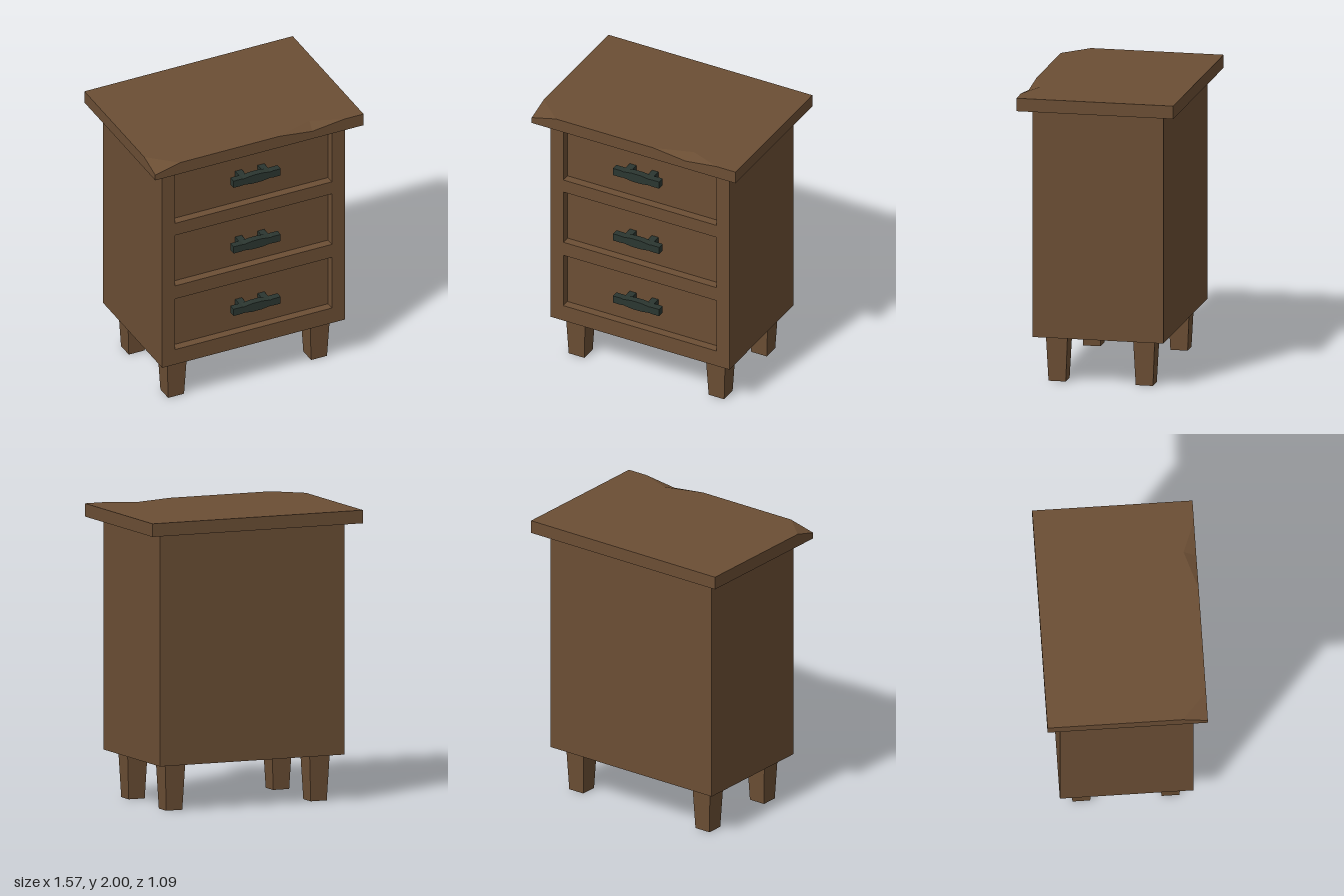
import * as THREE from 'three';

const wood = new THREE.MeshStandardMaterial({ color: 0x6b4e34 });
wood.name = 'brown wood';
const iron = new THREE.MeshStandardMaterial({ color: 0x2b3630 });
iron.name = 'dark iron';

const W = 0.69, D = 0.455, BOTTOM = 0.32, SHELF = 1.91; // cabinet
const TW = 0.787, TD = 0.545, TOP = 2; // table top
const RECESS = 0.06;

function add(parent, name, geometry, material, x = 0, y = 0, z = 0) {
  const mesh = new THREE.Mesh(geometry, material);
  mesh.name = name;
  mesh.position.set(x, y, z);
  parent.add(mesh);
  return mesh;
}

function box(parent, name, material, x0, x1, y0, y1, z0, z1) {
  return add(parent, name, new THREE.BoxGeometry(x1 - x0, y1 - y0, z1 - z0), material,
    (x0 + x1) / 2, (y0 + y1) / 2, (z0 + z1) / 2);
}

// Flat polygons, each fanned from its first corner (counter-clockwise from outside)
function polygons(faces) {
  const out = [];
  for (const f of faces) {
    for (let i = 1; i < f.length - 1; i++) out.push(...f[0], ...f[i], ...f[i + 1]);
  }
  const g = new THREE.BufferGeometry();
  g.setAttribute('position', new THREE.Float32BufferAttribute(out, 3));
  g.computeVertexNormals();
  return g;
}

// Slab with a broken front corner and a chip in the front edge
function tableTopGeometry() {
  const corner = (sx, y, sz) => [sx * TW, y, sz * TD];
  const bl = corner(-1, SHELF, -1), br = corner(1, SHELF, -1);
  const fl = corner(-1, SHELF, 1), fr = corner(1, SHELF, 1);
  const tbl = corner(-1, TOP, -1), tbr = corner(1, TOP, -1), tfr = corner(1, TOP, 1);
  const cutLow = [-TW, 1.953, TD], cutSide = [-TW, TOP, 0.375], cutFront = [-0.6, TOP, TD];
  const chipA = [0.15, TOP, TD], chipB = [0.64, TOP, TD];
  const chipLow = [0.4, 1.97, TD], chipIn = [0.42, TOP, 0.46];
  return polygons([
    [chipIn, chipB, tfr, tbr, tbl, cutSide, cutFront, chipA], // top
    [chipLow, chipA, cutFront, cutLow, fl, fr, tfr, chipB], // front
    [bl, fl, cutLow, cutSide, tbl], // left in front view
    [fr, br, tbr, tfr],
    [br, bl, tbl, tbr], // back
    [bl, br, fr, fl], // underside
    [cutLow, cutFront, cutSide], // broken corner
    [chipLow, chipIn, chipA], [chipLow, chipB, chipIn], // chip
  ]);
}

// Square leg tapering to the foot
function legGeometry() {
  const g = new THREE.BoxGeometry(0.15, BOTTOM, 0.15);
  const p = g.attributes.position;
  for (let i = 0; i < p.count; i++) {
    if (p.getY(i) < 0) p.setXYZ(i, p.getX(i) * 0.8, p.getY(i), p.getZ(i) * 0.8);
  }
  g.computeVertexNormals();
  return g;
}

// Flat bar with a swelling in the middle
function handleGeometry() {
  const half = [[-0.178, 0.027], [-0.12, 0.027], [-0.1, 0.024], [-0.035, 0.033]];
  const upper = [...half, ...half.map(([x, y]) => [-x, y]).reverse()];
  const lower = upper.map(([x, y]) => [x, -y]).reverse();
  const shape = new THREE.Shape([...upper, ...lower].map(([x, y]) => new THREE.Vector2(x, y)));
  return new THREE.ExtrudeGeometry(shape, { depth: 0.05, bevelEnabled: false });
}

function rectangle(Type, x, y0, y1) {
  return new Type([[-x, y0], [x, y0], [x, y1], [-x, y1]].map(([a, b]) => new THREE.Vector2(a, b)));
}

export function createModel() {
  const model = new THREE.Group();
  model.name = 'nightstand';
  const drawers = [[0.44, 0.848], [0.953, 1.36], [1.457, 1.863]];
  const handleY = [0.652, 1.155, 1.684];
  const panelZ = D - RECESS;

  // Cabinet and the frame around the recessed drawers
  box(model, 'cabinet', wood, -W, W, BOTTOM, SHELF, -D, panelZ - 0.005);
  const frame = rectangle(THREE.Shape, W, BOTTOM, SHELF);
  for (const [y0, y1] of drawers) frame.holes.push(rectangle(THREE.Path, 0.592, y0, y1));
  add(model, 'drawerFrame', new THREE.ExtrudeGeometry(frame, { depth: RECESS + 0.005, bevelEnabled: false }),
    wood, 0, 0, panelZ - 0.005);

  add(model, 'tableTop', tableTopGeometry(), wood);

  // Drawers with handles
  const bar = handleGeometry();
  drawers.forEach(([y0, y1], i) => {
    const drawer = new THREE.Group();
    drawer.name = 'drawer' + (i + 1);
    box(drawer, 'drawerFront', wood, -0.592, 0.592, y0, y1, panelZ - 0.005, panelZ);
    add(drawer, 'handleBar', bar, iron, 0, handleY[i], 0.46);
    for (const x of [-0.085, 0.085]) {
      box(drawer, 'handlePost', iron, x - 0.025, x + 0.025,
        handleY[i] - 0.022, handleY[i] + 0.022, panelZ, 0.462);
    }
    model.add(drawer);
  });

  // Legs
  const leg = legGeometry();
  for (const x of [-0.54, 0.54]) {
    for (const z of [-0.303, 0.303]) add(model, 'leg', leg, wood, x, BOTTOM / 2, z);
  }
  return model;
}
